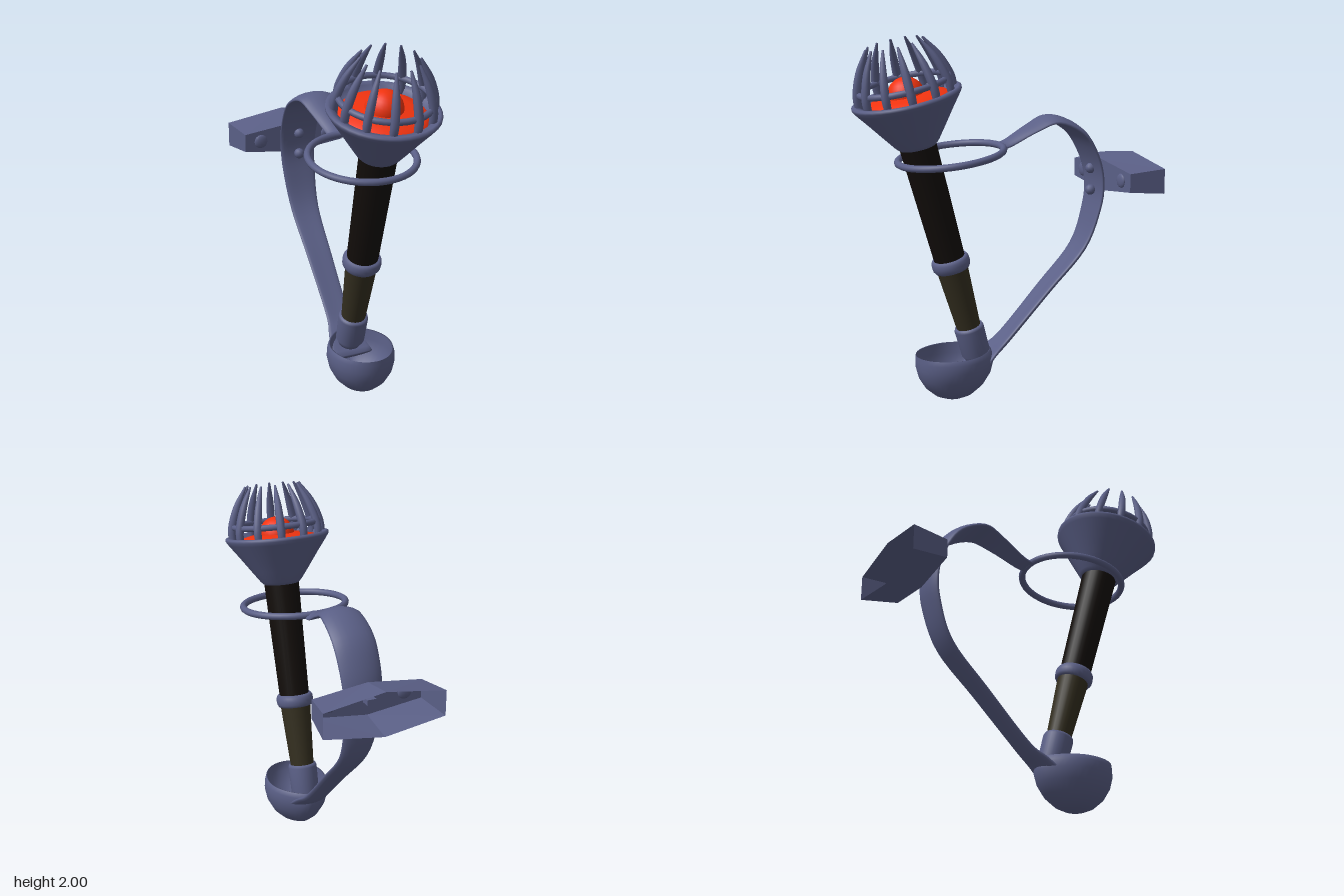
import * as THREE from 'three';

const V = (x, y, z) => new THREE.Vector3(x, y, z);
const mat = (color, side = THREE.FrontSide) => new THREE.MeshStandardMaterial({ color, side });
const iron = mat(0x5a5f86, THREE.DoubleSide);
const black = mat(0x120d0a), olive = mat(0x332e1f), red = mat(0xf0330f);

function add(parent, name, geometry, material = iron) {
  const mesh = new THREE.Mesh(geometry, material);
  mesh.name = name;
  parent.add(mesh);
  return mesh;
}

// Skin through closed rings of points (counter-clockwise about the direction of travel)
function loft(rings, flat = false) {
  const n = rings[0].length, index = [];
  for (let i = 0; i < rings.length - 1; i++) {
    for (let j = 0; j < n; j++) {
      const a = i * n + j, b = i * n + (j + 1) % n;
      index.push(a, b, b + n, a, b + n, a + n);
    }
  }
  let g = new THREE.BufferGeometry().setFromPoints(rings.flat());
  g.setIndex(index);
  if (flat) g = g.toNonIndexed();
  g.computeVertexNormals();
  return g;
}

// Sweep an ellipse along a planar path; sizes holds [half width, half thickness] per point
function sweep(points, side, sizes, bow, n, steps) {
  const path = new THREE.CatmullRomCurve3(points, false, 'catmullrom');
  const size = new THREE.CatmullRomCurve3(sizes.map(s => V(s[0], s[1], 0)), false, 'catmullrom');
  const rings = [];
  for (let i = 0; i <= steps; i++) {
    const c = path.getPoint(i / steps), s = size.getPoint(i / steps);
    const v = path.getTangent(i / steps).cross(side).normalize();
    const ring = [];
    for (let j = 0; j < n; j++) {
      const a = j / n * Math.PI * 2, k = Math.cos(a);
      ring.push(c.clone().addScaledVector(side, s.x * k)
        .addScaledVector(v, s.y * Math.sin(a) - bow * k * k));
    }
    if (i === 0) rings.push(ring.map(() => c.clone()));
    rings.push(ring);
    if (i === steps) rings.push(ring.map(() => c.clone()));
  }
  return loft(rings);
}

const lathe = (pts, n = 32) => new THREE.LatheGeometry(pts.map(p => new THREE.Vector2(...p)), n);

export function createModel() {
  const model = new THREE.Group();
  model.name = 'wallTorch';

  // Leaning handle: dark grip, olive lower grip, collar and socket sleeve
  const handle = new THREE.Group();
  handle.name = 'handle';
  handle.position.set(0, 0.77, 0.307);
  handle.rotation.x = 0.272;
  model.add(handle);
  add(handle, 'upperGrip', new THREE.CylinderGeometry(0.1, 0.085, 0.7, 24), black).position.y = 0.36;
  add(handle, 'lowerGrip', new THREE.CylinderGeometry(0.088, 0.065, 0.43, 24), olive).position.y = -0.215;
  add(handle, 'collar', lathe([[0.07, -0.035], [0.095, -0.035], [0.104, -0.02], [0.106, 0],
    [0.104, 0.02], [0.095, 0.035], [0.07, 0.035]]));
  add(handle, 'sleeve', lathe([[0, -0.6], [0.06, -0.59], [0.08, -0.55], [0.083, -0.4],
    [0.078, -0.385], [0.06, -0.383]]));

  // Head: cup, ember and cage of spikes
  const head = new THREE.Group();
  head.name = 'head';
  head.position.set(0, 1.685, 0.55);
  head.rotation.x = 0.226;
  model.add(head);
  add(head, 'cup', lathe([[0, -0.272], [0.1, -0.268], [0.118, -0.25], [0.165, -0.185], [0.225, -0.1],
    [0.28, -0.025], [0.293, -0.005], [0.293, 0.008], [0.28, 0.014], [0.25, 0.008], [0.235, -0.03],
    [0, -0.06]], 36));
  add(head, 'emberBed', lathe([[0.238, -0.03], [0.215, -0.005], [0.15, 0.01], [0, 0.025]]), red);
  add(head, 'ember', new THREE.SphereGeometry(0.1, 24, 16), red).position.y = 0.01;
  const cageRing = add(head, 'cageRing', new THREE.TorusGeometry(0.238, 0.017, 8, 40));
  cageRing.rotation.x = Math.PI / 2;
  cageRing.position.y = 0.07;
  const spike = sweep([V(0.25, -0.03, 0), V(0.25, 0.06, 0), V(0.21, 0.18, 0), V(0.15, 0.29, 0)],
    V(0, 0, 1), [[0.018, 0.018], [0.023, 0.023], [0.02, 0.02], [0.006, 0.006]], 0, 8, 12);
  for (let i = 0; i < 12; i++) {
    add(head, 'cageSpike', spike).rotation.y = (i + 0.5) / 12 * Math.PI * 2;
  }

  // Spoon-shaped cup that catches the foot of the handle: outside up, then inside down
  const levels = [[0, 0], [0.003, 0.28], [0.025, 0.52], [0.07, 0.76], [0.13, 0.93], [0.19, 1], [0.235, 0.98],
    [0.262, 0.93], [0.26, 0.89], [0.2, 0.91], [0.13, 0.82], [0.07, 0.6], [0.045, 0.35], [0.04, 0]];
  add(model, 'footCup', loft(levels.map(([y, s]) => Array.from({ length: 40 }, (_, j) => {
    const a = j / 40 * Math.PI * 2, c = Math.cos(a);
    const taper = c < 0 ? 1 - 0.25 * c * c : 1;
    const reach = c > 0 ? (y > 0.19 ? 0.215 / s : 0.215) : 0.235;
    return V(0.185 * s * Math.sin(a) * taper, y, 0.295 + reach * s * c);
  }))));

  // Curved strap from the foot cup round the back and over to the ring
  const strap = [[0.18, 0.13, 0.13], [0.07, 0.225, 0.095], [-0.03, 0.3, 0.07], [-0.28, 0.55, 0.075],
    [-0.5, 0.775, 0.085], [-0.59, 1, 0.1], [-0.605, 1.16, 0.108], [-0.565, 1.31, 0.115],
    [-0.47, 1.45, 0.118], [-0.31, 1.525, 0.11], [-0.18, 1.485, 0.088], [-0.03, 1.41, 0.06], [0.03, 1.4, 0.06]];
  add(model, 'strap', sweep(strap.map(([z, y]) => V(0, y, z)), V(1, 0, 0),
    strap.map(([, , w], i) => [w, i > 9 ? 0.016 : 0.022]), 0.015, 20, 60));

  // Holding ring around the grip
  const ring = add(model, 'holdingRing', new THREE.TorusGeometry(0.286, 0.019, 10, 48));
  ring.rotation.x = Math.PI / 2 + 0.13;
  ring.position.set(0, 1.362, 0.302);

  // Hollow six-sided wall plate, open at the back
  const hex = (w, end, mid, z) => [[w, -end], [w, end], [0, mid], [-w, end], [-w, -end], [0, -mid]]
    .map(([x, y]) => V(x, 1.18 + y, z));
  add(model, 'wallPlate', loft([hex(0.336, 0.07, 0.122, -0.845), hex(0.306, 0.052, 0.09, -0.64),
    hex(0, 0, 0, -0.64)], true));

  // Rivets on the strap and studs on the plate
  for (const y of [1.1, 1.225]) {
    add(model, 'strapRivet', new THREE.SphereGeometry(0.03, 12, 8)).position.set(0, y, -0.568);
  }
  for (const x of [-0.21, 0.21]) {
    const stud = add(model, 'plateStud', new THREE.SphereGeometry(0.04, 12, 8));
    stud.position.set(x, 1.18, -0.64);
    stud.scale.z = 0.35;
  }
  add(model, 'plateBolt', new THREE.BoxGeometry(0.05, 0.03, 0.07)).position.set(0, 1.18, -0.655);
  return model;
}
